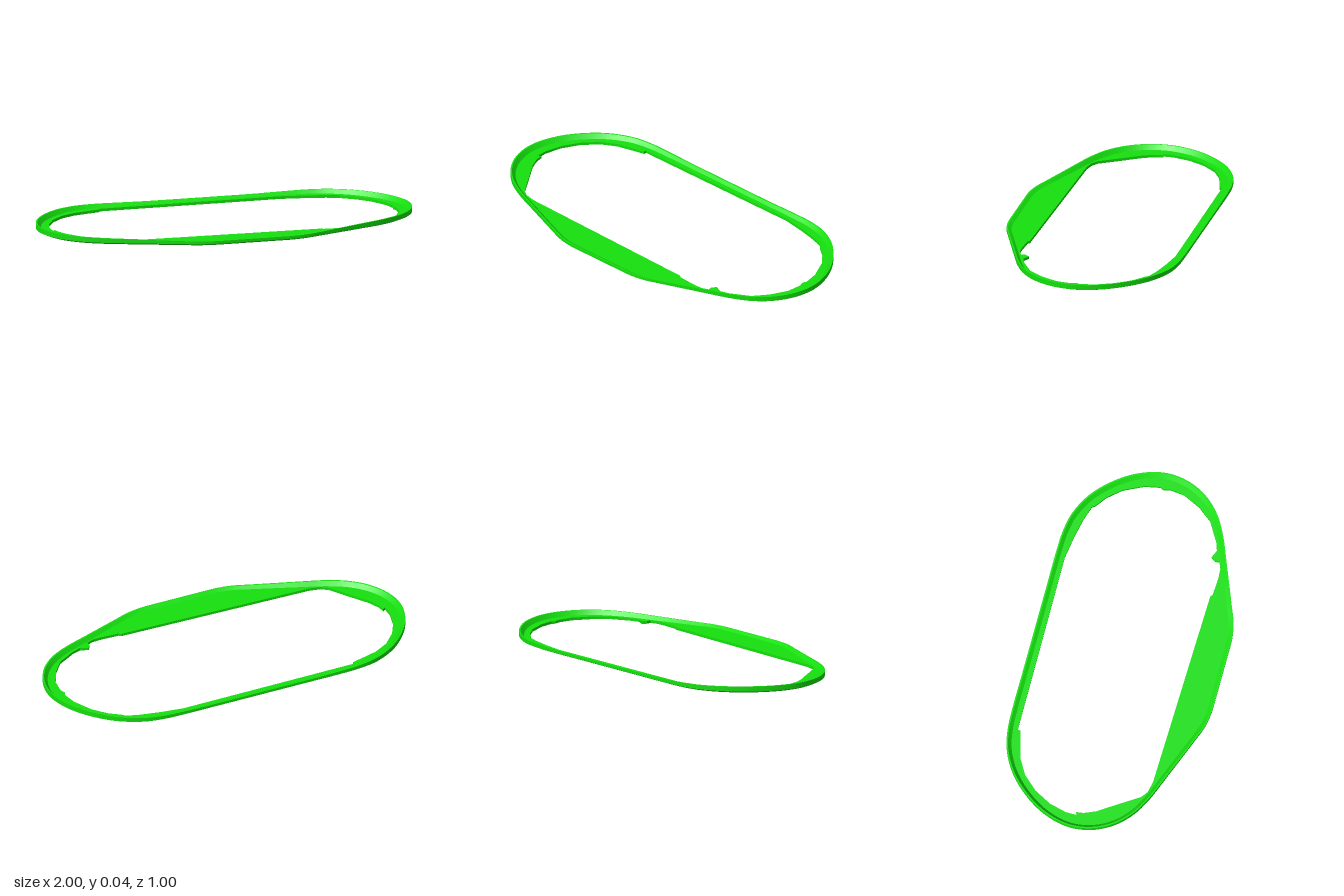
import * as THREE from 'three';
import { toCreasedNormals } from 'three/addons/utils/BufferGeometryUtils.js';

const FLOOR = 0.014;   // thickness of the flat flange
const INSET = 0.026;   // width of the sloping rim

// Right half of the symmetric outer outline (x, z), back centre to front centre
const half = [
  [0, -0.5], [0.25, -0.5], [0.45, -0.5], [0.56, -0.495], [0.67, -0.472], [0.8, -0.4], [0.92, -0.27],
  [0.98, -0.15], [1, -0.04], [0.982, 0.07], [0.93, 0.17], [0.85, 0.25], [0.75, 0.308],
  [0.6, 0.368], [0.38, 0.453], [0.3, 0.483], [0.22, 0.498], [0.1, 0.5], [0, 0.5],
];

// Inner opening (x, z), with its small steps and tab
const opening = [
  [-0.55, -0.43], [-0.55, -0.445], [0.43, -0.45], [0.55, -0.432], [0.66, -0.408], [0.73, -0.385], [0.74, -0.37],
  [0.8, -0.325], [0.86, -0.255], [0.91, -0.15], [0.925, -0.07], [0.915, -0.05], [0.925, -0.02],
  [0.915, 0.06], [0.87, 0.15], [0.81, 0.225], [0.71, 0.283], [0.66, 0.3], [0.62, 0.282],
  [0.603, 0.305], [0.605, 0.328], [0.57, 0.342], [0.52, 0.345], [0.42, 0.34], [0.41, 0.33],
  [-0.65, 0.303], [-0.71, 0.29], [-0.745, 0.265], [-0.82, 0.15], [-0.88, 0.06], [-0.905, 0],
  [-0.91, -0.04], [-0.925, -0.03], [-0.924, -0.09], [-0.9, -0.18], [-0.85, -0.27],
  [-0.78, -0.345], [-0.7, -0.39], [-0.62, -0.412],
];

// Rim is lowest along the middle and rises toward both ends
const rimHeight = (x) => 0.025 + 0.012 * THREE.MathUtils.smoothstep(Math.abs(x), 0.2, 0.95);

// Outline samples with the inward direction at each
function sampleOutline(count) {
  const mirrored = half.slice(1, -1).reverse().map(([x, z]) => [-x, z]);
  const points = [...half, ...mirrored].map(([x, z]) => new THREE.Vector3(x, 0, z));
  const curve = new THREE.CatmullRomCurve3(points, true);
  return Array.from({ length: count }, (_, i) => {
    const p = curve.getPointAt(i / count);
    const t = curve.getTangentAt(i / count);
    return { x: p.x, z: p.z, nx: -t.z, nz: t.x };
  });
}

// Sweep the rim section: bottom chamfer, outer wall, lip, slope down to the flange
function rimGeometry(outline) {
  const pos = [], index = [], n = outline.length, m = 5;
  outline.forEach(({ x, z, nx, nz }, i) => {
    const h = rimHeight(x);
    const section = [[INSET, 0], [0, 0.011], [0, h], [0.008, h], [INSET, FLOOR]];
    section.forEach(([d, y], j) => {
      pos.push(x + nx * d, y, z + nz * d);
      if (j === m - 1) return;
      const a = i * m + j, b = ((i + 1) % n) * m + j;
      index.push(a, a + 1, b, a + 1, b + 1, b);
    });
  });
  const g = new THREE.BufferGeometry();
  g.setAttribute('position', new THREE.Float32BufferAttribute(pos, 3));
  g.setIndex(index);
  return toCreasedNormals(g, 0.4);
}

// Flat flange between the rim and the opening
function flangeGeometry(outline) {
  const shape = new THREE.Shape(
    outline.map((p) => new THREE.Vector2(p.x + p.nx * INSET, -(p.z + p.nz * INSET))));
  shape.holes.push(new THREE.Path(opening.map(([x, z]) => new THREE.Vector2(x, -z))));
  const g = new THREE.ExtrudeGeometry(shape, { depth: FLOOR, bevelEnabled: false });
  g.rotateX(-Math.PI / 2);
  return toCreasedNormals(g, 0.4);
}

export function createModel() {
  const group = new THREE.Group();
  group.name = 'bezelFrame';
  const material = new THREE.MeshStandardMaterial({ color: 0x15e00e, side: THREE.DoubleSide });
  const outline = sampleOutline(200);
  const add = (name, geometry) => {
    const mesh = new THREE.Mesh(geometry, material);
    mesh.name = name;
    group.add(mesh);
  };
  add('outerRim', rimGeometry(outline));
  add('innerFlange', flangeGeometry(outline));
  return group;
}
